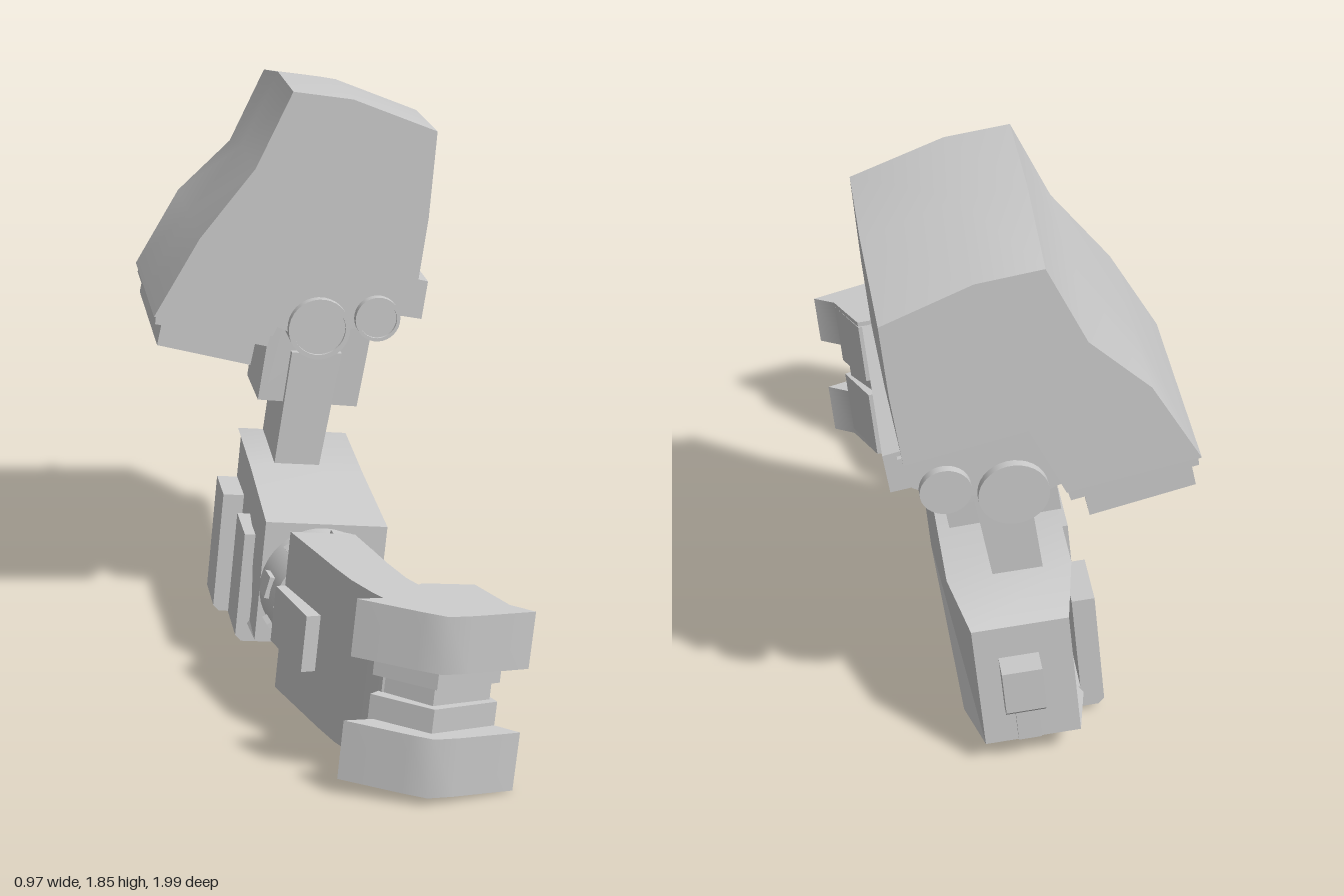
import * as THREE from 'three';
import { toCreasedNormals } from 'three/addons/utils/BufferGeometryUtils.js';

const material = new THREE.MeshStandardMaterial({ color: 0xcccccc });

function add(parent, name, geometry) {
  const mesh = new THREE.Mesh(geometry, material);
  mesh.name = name;
  parent.add(mesh);
  return mesh;
}

const outline = (points) => new THREE.Shape(points.map(([a, b]) => new THREE.Vector2(a, b)));

// Front outline (x, y) pulled along z
function alongZ(points, z0, z1, steps = 1) {
  return new THREE.ExtrudeGeometry(outline(points), { depth: z1 - z0, steps, bevelEnabled: false }).translate(0, 0, z0);
}

// Side outline (z, y) pulled along x
function alongX(points, x0, x1) {
  return new THREE.ExtrudeGeometry(outline(points), { depth: x1 - x0, bevelEnabled: false })
    .rotateY(-Math.PI / 2).translate(x1, 0, 0);
}

// Plan outline (x, z) pulled along y
function alongY(points, y0, y1) {
  const flipped = points.map(([x, z]) => [x, -z]);
  const geometry = new THREE.ExtrudeGeometry(outline(flipped), { depth: y1 - y0, bevelEnabled: false })
    .rotateX(-Math.PI / 2).translate(0, y0, 0);
  return toCreasedNormals(geometry, 0.6);
}

// Move every vertex by a rule, then renew the normals
function reshape(geometry, rule) {
  const p = geometry.attributes.position;
  const v = new THREE.Vector3();
  for (let i = 0; i < p.count; i++) {
    rule(v.fromBufferAttribute(p, i));
    p.setXYZ(i, v.x, v.y, v.z);
  }
  return toCreasedNormals(geometry, 0.4);
}

function box(parent, name, x0, x1, y0, y1, z0, z1) {
  return add(parent, name, new THREE.BoxGeometry(x1 - x0, y1 - y0, z1 - z0)
    .translate((x0 + x1) / 2, (y0 + y1) / 2, (z0 + z1) / 2));
}

function buildShoulder(parent) {
  // Armour shell, its roof falling toward the back
  const shell = alongZ([
    [-0.49, 1.13], [-0.11, 1.05], [0, 1.27], [0.36, 1.19], [0.395, 1.42], [0.42, 1.70],
    [0.15, 1.81], [-0.04, 1.84], [-0.16, 1.60], [-0.34, 1.38],
  ], -0.975, -0.268, 2);
  add(parent, 'shoulderArmour', reshape(shell, (v) => {
    if (v.z > -0.9) return;
    if (v.y > 1.5) v.y -= 0.055;
    if (v.x > 0.3) v.x -= 0.015;
    v.z -= v.x * 0.025;
  }));

  // Housing that closes the notch above the pivots
  add(parent, 'pivotHousing', alongZ([[-0.06, 1.06], [0.23, 1.06], [0.32, 1.1], [0.36, 1.2], [0, 1.28], [-0.1, 1.08]], -0.965, -0.28));

  // Stepped lip under the outer edge and rail under the inner edge
  add(parent, 'outerLip', alongZ([[-0.485, 1.10], [-0.125, 1.01], [-0.11, 1.06], [-0.48, 1.14]], -0.955, -0.29));
  add(parent, 'outerLipStep', alongZ([[-0.48, 1.03], [-0.18, 0.95], [-0.16, 1.04], [-0.46, 1.12]], -0.95, -0.29));
  add(parent, 'innerRail', alongZ([[0.28, 1.10], [0.38, 1.08], [0.40, 1.205], [0.30, 1.23]], -0.95, -0.29));

  // Pivot drums with a raised rim on the front end
  for (const [x, y, r] of [[0.04, 1.07, 0.1], [0.23, 1.095, 0.073]]) {
    const profile = [
      [0, -0.37], [r, -0.37], [r, 0.37], [r * 0.85, 0.37], [r * 0.85, 0.36], [0, 0.36],
    ].map(([a, b]) => new THREE.Vector2(a, b));
    const drum = toCreasedNormals(new THREE.LatheGeometry(profile, 32), 0.5).rotateX(Math.PI / 2);
    add(parent, 'shoulderPivot', drum).position.set(x, y, -0.62);
  }
}

function buildUpperArm(parent) {
  add(parent, 'upperArmBlock', reshape(
    alongZ([[-0.14, 0.79], [0.19, 0.75], [0.25, 1.08], [0.1, 1.2], [-0.09, 1.1]], -0.7, -0.42),
    (v) => { if (v.y > 0.9) v.z = -0.56 + (v.z + 0.56) * 1.08; }));
  add(parent, 'elbowStrut', reshape(
    alongZ([[-0.1, 0.5], [0.05, 0.5], [0.135, 0.945], [-0.03, 0.955]], -0.72, -0.39),
    (v) => { if (v.y < 0.6) v.z = -0.56 + (v.z + 0.56) * 0.93; }));
}

function buildForearm(parent) {
  // Body tapering to the wrist and drawn in at the rear
  const body = alongX([
    [0.06, -0.19], [0.06, 0.21], [-0.35, 0.25], [-0.71, 0.27], [-0.89, 0.21], [-0.9, -0.22], [-0.68, -0.265],
  ], -0.2, 0.19);
  add(parent, 'forearm', reshape(body, (v) => {
    if (v.z < -0.8) v.x = v.x < 0 ? -0.16 : 0.13;
    else if (v.z < 0 && v.x > 0) v.x = 0.175;
  }));

  // Plates wrapping from the outer side to the underside
  for (const [z0, z1, out, low] of [[-0.32, -0.12, 0.235, -0.27], [-0.69, -0.5, 0.26, -0.32]]) {
    add(parent, 'sidePlate', alongZ([
      [-out, 0.1], [-out, low + 0.02], [-out + 0.02, low], [-0.1, low], [-0.1, low + 0.08], [-0.19, low + 0.08], [-0.19, 0.1],
    ], z0, z1));
  }

  // Rear latch
  box(parent, 'rearPlate', -0.04, 0.03, -0.21, 0.1, -0.915, -0.88);
  add(parent, 'rearLatch', alongX([[-0.88, -0.09], [-0.88, 0.1], [-0.97, 0.1], [-0.97, -0.05], [-0.93, -0.09]], -0.06, 0.06));
}

function buildWrist(parent) {
  const wrist = new THREE.Group();
  wrist.name = 'wrist';
  wrist.position.set(-0.003, 0.005, 0.15);
  wrist.rotation.y = 0.1;
  parent.add(wrist);
  add(wrist, 'wristDrum', new THREE.CylinderGeometry(0.192, 0.192, 0.19, 40).rotateX(Math.PI / 2));
  for (let i = 0; i < 8; i++) {
    const stud = box(wrist, 'wristStud', 0.18, 0.205, -0.035, 0.035, -0.035, 0.03);
    stud.rotation.z = Math.PI / 8 + 0.2 + i * Math.PI / 4;
  }
  box(parent, 'wristLink', -0.1, 0, -0.08, 0.1, 0.22, 0.34);
}

function buildHand(parent) {
  // Curved palm
  add(parent, 'palm', alongY([
    [-0.16, 0.29], [0.04, 0.29], [0.07, 0.41], [0.1, 0.53], [0.135, 0.645], [0.18, 0.73], [0.16, 0.86],
    [0.055, 0.84], [0.01, 0.77], [-0.035, 0.68], [-0.07, 0.58], [-0.11, 0.45],
  ], -0.25, 0.265));

  // Curled knuckles split by a groove
  const knuckle = [[0.16, 0.74], [0.32, 0.73], [0.39, 0.885], [0.19, 0.955], [0.02, 0.855], [0.05, 0.83]];
  add(parent, 'upperKnuckle', alongY(knuckle, 0.045, 0.27));
  add(parent, 'lowerKnuckle', alongY(knuckle, -0.255, -0.015));
  add(parent, 'grooveFloor', alongY([[0.16, 0.75], [0.3, 0.75], [0.37, 0.87], [0.19, 0.93], [0.06, 0.84]], -0.02, 0.05));

  // Finger guards overhanging the knuckles
  const guard = [
    [0.32, 0.735], [0.39, 0.885], [0.457, 0.93], [0.27, 0.98], [0.19, 0.995], [0.12, 0.965],
    [-0.055, 0.88], [0.05, 0.86], [0.16, 0.74],
  ];
  add(parent, 'upperGuard', alongY(guard, 0.11, 0.287));
  add(parent, 'lowerGuard', alongY(guard, -0.275, -0.09));

  // Plate on the back of the hand
  add(parent, 'handPlate', alongY([[-0.19, 0.3], [-0.11, 0.28], [-0.05, 0.52], [-0.13, 0.54]], -0.09, 0.09));
}

export function createModel() {
  const model = new THREE.Group();
  model.name = 'mechanicalArm';
  buildShoulder(model);
  buildUpperArm(model);

  // Forearm, wrist and hand share a slight roll
  const lower = new THREE.Group();
  lower.name = 'lowerArm';
  lower.position.set(0, 0.31, 0);
  lower.rotation.z = -0.1;
  model.add(lower);
  buildForearm(lower);
  buildWrist(lower);
  buildHand(lower);
  return model;
}
